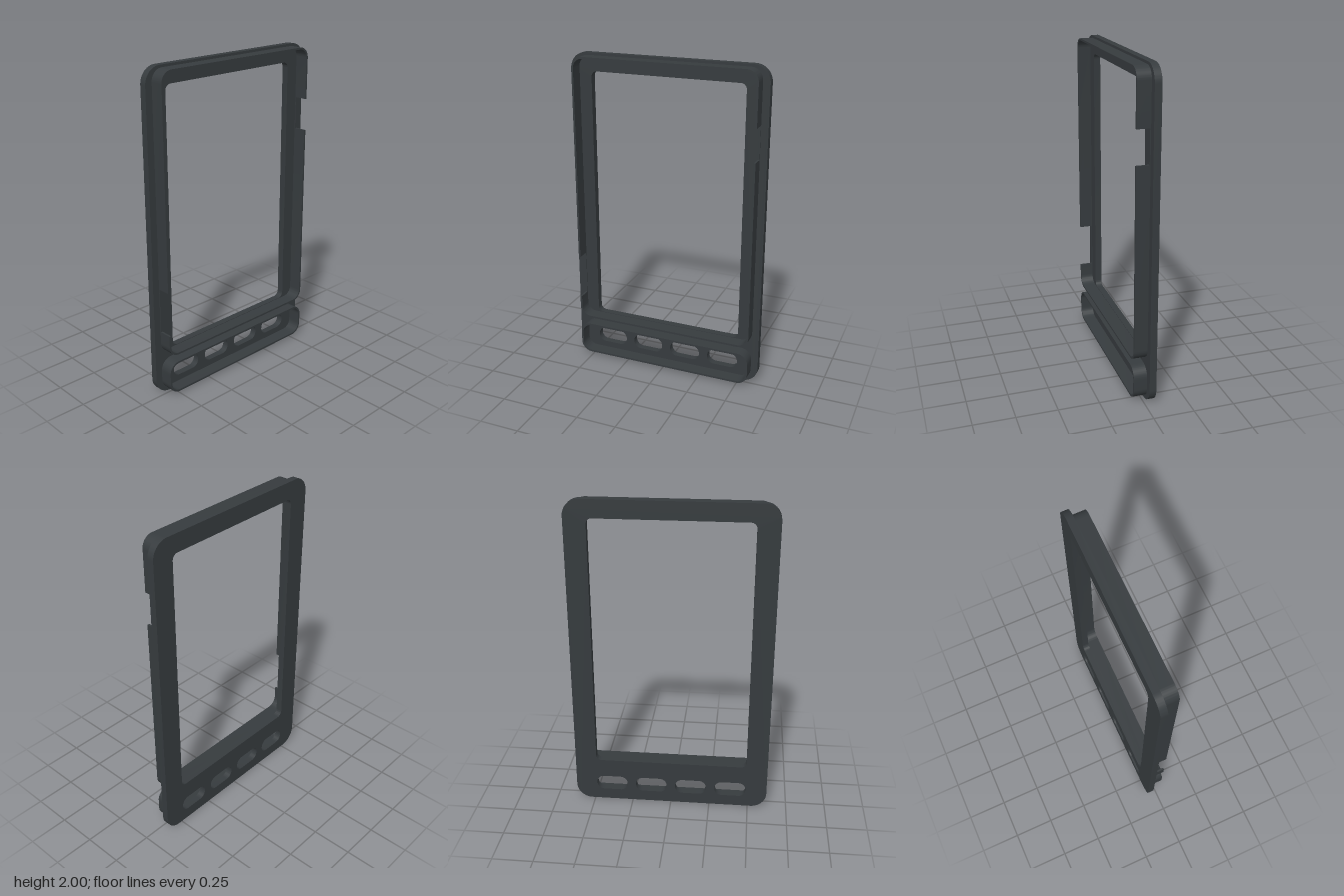
import * as THREE from 'three';
import { toCreasedNormals } from 'three/addons/utils/BufferGeometryUtils.js';

const BACK = -0.062, FACE = -0.02, FRONT = 0.062, WALL = 0.012;

// Counter-clockwise rounded rectangle
function roundedRect(path, x0, x1, y0, y1, r) {
  path.moveTo(x1, y0 + r);
  path.lineTo(x1, y1 - r);
  path.absarc(x1 - r, y1 - r, r, 0, Math.PI / 2);
  path.lineTo(x0 + r, y1);
  path.absarc(x0 + r, y1 - r, r, Math.PI / 2, Math.PI);
  path.lineTo(x0, y0 + r);
  path.absarc(x0 + r, y0 + r, r, Math.PI, Math.PI * 1.5);
  path.lineTo(x1 - r, y0);
  path.absarc(x1 - r, y0 + r, r, Math.PI * 1.5, Math.PI * 2);
  return path;
}

// U-shaped wall: rounded at one end, with arms ending at yRight and yLeft
function uShape(w, yEnd, yRight, yLeft, r) {
  const s = new THREE.Shape();
  const up = yEnd > yRight ? 1 : -1;
  const ri = r - WALL, wi = w - WALL, yc = yEnd - up * r, q = up * Math.PI / 2, cw = up < 0;
  s.moveTo(w, yRight);
  s.lineTo(w, yc);
  s.absarc(w - r, yc, r, 0, q, cw);
  s.lineTo(-w + r, yEnd);
  s.absarc(-w + r, yc, r, q, up * Math.PI, cw);
  s.lineTo(-w, yLeft);
  s.lineTo(-wi, yLeft);
  s.lineTo(-wi, yc);
  s.absarc(-w + r, yc, ri, up * Math.PI, q, !cw);
  s.lineTo(w - r, yEnd - up * WALL);
  s.absarc(w - r, yc, ri, q, 0, !cw);
  s.lineTo(wi, yRight);
  s.closePath();
  return s;
}

function ring(w, y0, y1, r) {
  const s = roundedRect(new THREE.Shape(), -w, w, y0, y1, r);
  s.holes.push(roundedRect(new THREE.Path(), -w + WALL, w - WALL, y0 + WALL, y1 - WALL, r - WALL));
  return s;
}

export function createModel() {
  const group = new THREE.Group();
  const material = new THREE.MeshStandardMaterial({ color: 0x363b3e });

  function add(name, shape, z0, z1) {
    const geo = new THREE.ExtrudeGeometry(shape, { depth: z1 - z0, bevelEnabled: false, curveSegments: 10 });
    geo.translate(0, 0, z0);
    const mesh = new THREE.Mesh(toCreasedNormals(geo, 0.5), material);
    mesh.name = name;
    group.add(mesh);
  }

  // Back plate with the screen window and four button slots
  const plate = roundedRect(new THREE.Shape(), -0.62, 0.62, 0, 2, 0.1);
  plate.holes.push(roundedRect(new THREE.Path(), -0.485, 0.485, 0.29, 1.89, 0.035));
  for (let i = 0; i < 4; i++) {
    const x = (i - 1.5) * 0.256;
    plate.holes.push(roundedRect(new THREE.Path(), x - 0.1, x + 0.1, 0.072, 0.17, 0.046));
  }
  add('backPlate', plate, BACK, FACE);

  // Screen rim: low continuous base, then walls interrupted by a side notch on each side
  const w = 0.576, r = 0.07, sill = -0.015;
  add('screenRimBase', ring(w, 0.275, 1.985, r), FACE, sill);
  add('screenRimTop', uShape(w, 1.985, 1.66, 0.7, r), sill, FRONT);
  add('screenRimBottom', uShape(w, 0.275, 1.46, 0.42, r), sill, FRONT);

  // Closed rim around the button slots
  add('buttonRim', ring(w, 0.02, 0.228, r), FACE, FRONT);
  return group;
}
